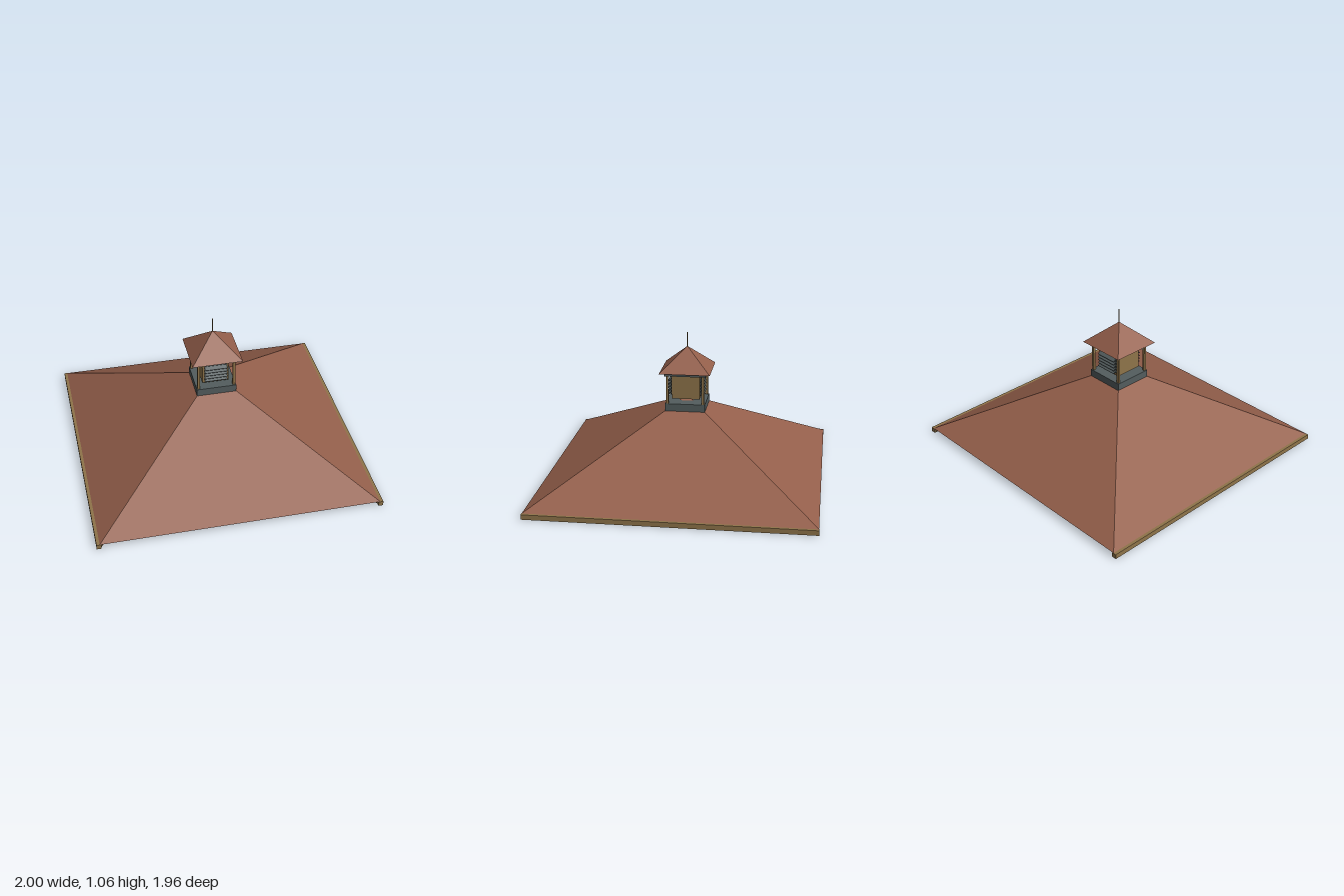
import * as THREE from 'three';

const mat = (name, color, extra = {}) => {
  const m = new THREE.MeshStandardMaterial({ color, ...extra });
  m.name = name;
  return m;
};

export function createModel() {
  const model = new THREE.Group();
  model.name = 'hippedRoofWithCupola';

  const tile = mat('redTile', 0x945f4b, { flatShading: true, side: THREE.DoubleSide });
  const wood = mat('wood', 0x8f744a);
  const slate = mat('slateGrey', 0x535d5e);

  const add = (name, geometry, material, x = 0, y = 0, z = 0, parent = model) => {
    const mesh = new THREE.Mesh(geometry, material);
    mesh.name = name;
    mesh.position.set(x, y, z);
    parent.add(mesh);
    return mesh;
  };
  // Box given by its full width and depth and its bottom and top heights
  const slab = (name, material, w, d, y0, y1, x = 0, z = 0) =>
    add(name, new THREE.BoxGeometry(w, y1 - y0, d), material, x, (y0 + y1) / 2, z);
  // Open four-sided pyramid with axis-aligned eaves
  const pyramid = (name, halfX, halfZ, y0, y1) => {
    const g = new THREE.ConeGeometry(Math.SQRT2, y1 - y0, 4, 1, true).rotateY(Math.PI / 4);
    g.scale(halfX, 1, halfZ);
    const flat = g.toNonIndexed();
    flat.computeVertexNormals();
    return add(name, flat, tile, 0, (y0 + y1) / 2, 0);
  };

  // Main roof
  const eaveY = 0.035, apexY = 0.595, half = 0.978;
  pyramid('mainRoof', half, half, eaveY, apexY);

  // Side eave boards
  for (const s of [-1, 1]) slab('eaveBoard', wood, 0.033, 1.96, 0, 0.035, s * 0.9835, 0);

  // Thin rafters hanging under the four hips
  const reach = half * Math.SQRT2, drop = 0.03;
  const profile = new THREE.Shape([
    new THREE.Vector2(0.12, apexY - 0.12 * (apexY - eaveY) / reach - 0.003),
    new THREE.Vector2(0.12, apexY - 0.12 * (apexY - eaveY) / reach - drop),
    new THREE.Vector2(reach - 0.01, eaveY - drop + 0.004),
    new THREE.Vector2(reach - 0.01, eaveY),
  ]);
  for (let i = 0; i < 4; i++) {
    const g = new THREE.ExtrudeGeometry(profile, { depth: 0.012, bevelEnabled: false });
    g.translate(0, 0, -0.006);
    add('hipRafter', g, wood).rotation.y = Math.PI / 4 + i * Math.PI / 2;
  }

  // Cupola base, corner posts and top plate
  slab('cupolaBase', slate, 0.285, 0.285, 0.51, 0.567);
  for (const x of [-1, 1]) for (const z of [-1, 1])
    slab('cupolaPost', wood, 0.018, 0.018, 0.565, 0.772, x * 0.127, z * 0.127);
  slab('cupolaTopPlate', slate, 0.295, 0.295, 0.77, 0.793);

  // Louvred housing
  slab('louvreHousing', wood, 0.19, 0.2, 0.592, 0.77);
  for (const s of [-1, 1]) {
    slab('louvreBacking', slate, 0.16, 0.008, 0.615, 0.735, 0, s * 0.102);
    for (let i = 0; i < 5; i++) {
      const slat = add('louvreSlat', new THREE.BoxGeometry(0.16, 0.007, 0.034), slate,
        0, 0.627 + i * 0.024, s * 0.114);
      slat.rotation.x = s * 0.6;
    }
  }

  // Cupola roof and finial
  pyramid('cupolaRoof', 0.18, 0.18, 0.793, 0.957);
  add('finial', new THREE.CylinderGeometry(0.003, 0.004, 0.115, 8), wood, 0, 0.9995, 0);

  return model;
}
